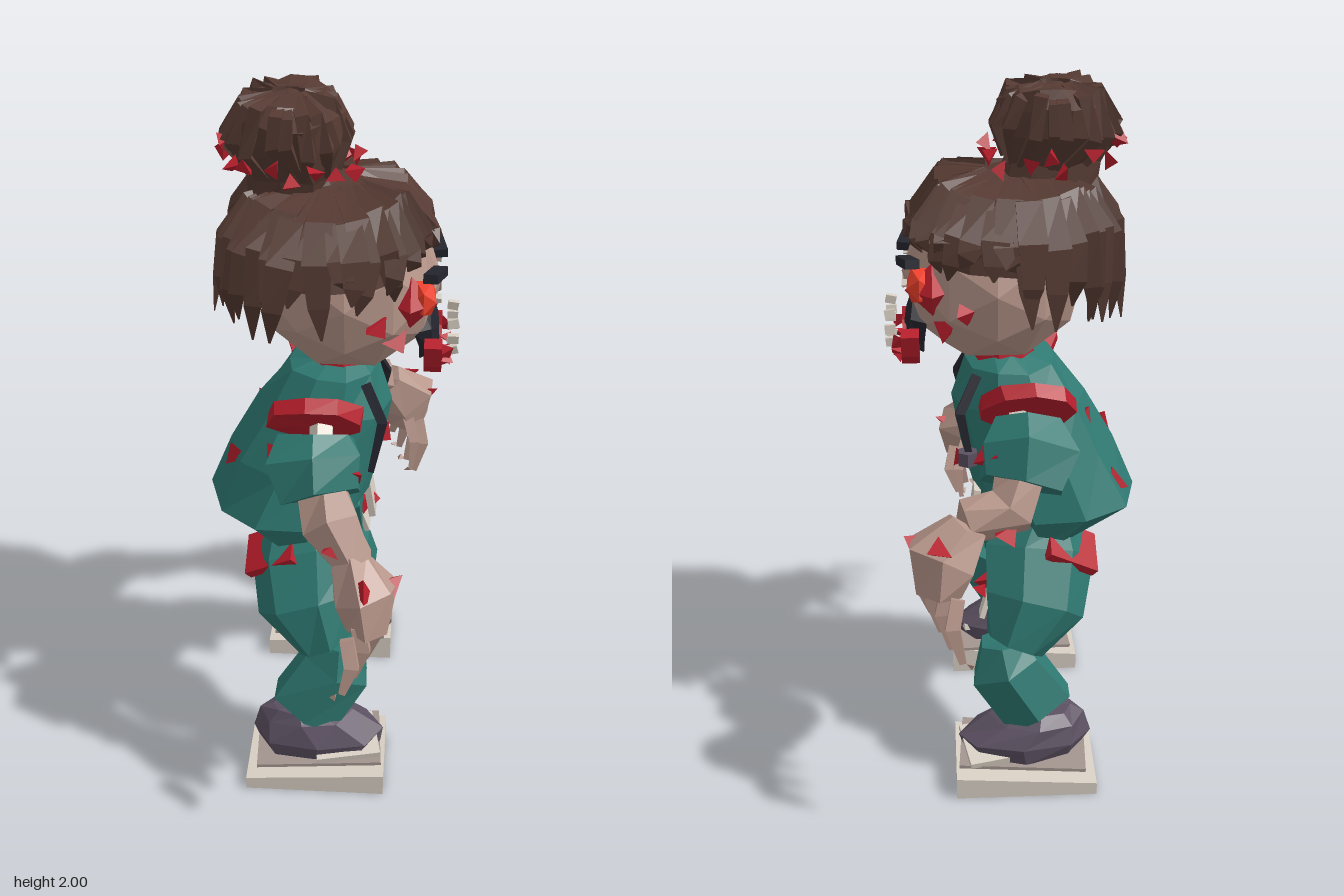
import * as THREE from 'three';

const C = { teal: 0x2f7972, skin: 0xb8978b, hair: 0x553a32, red: 0xb81e2c, glow: 0xf0402c,
  dark: 0x25252f, bone: 0xd9d0c4, shoe: 0x5c5162, sole: 0xa3958f };

export function createModel() {
  const model = new THREE.Group();
  let seed = 7;
  const rnd = () => (seed = (seed * 16807) % 2147483647) / 2147483647;
  const jit = a => (rnd() - 0.5) * 2 * a;
  const V = (x, y, z) => new THREE.Vector3(x, y, z);
  const mats = {};
  const add = (geo, color, name, parent) => {
    mats[color] ??= new THREE.MeshStandardMaterial({ color: C[color], flatShading: true });
    const m = new THREE.Mesh(geo, mats[color]);
    m.name = name;
    parent.add(m);
    return m;
  };
  const group = name => {
    const g = new THREE.Group();
    g.name = name;
    model.add(g);
    return g;
  };

  // Closed skin over rings [x, y, z, radius along x, other radius]
  function loft(rings, { n = 7, flat = false, j = 0 } = {}) {
    const pos = [], idx = [], last = rings.length - 1;
    rings.forEach((r, i) => {
      const a = rings[Math.max(i - 1, 0)], b = rings[Math.min(i + 1, last)];
      const t = flat ? V(0, 1, 0) : V(b[0] - a[0], b[1] - a[1], b[2] - a[2]).normalize();
      const u = Math.abs(t.x) > 0.9 ? V(0, 1, 0) : V(1, 0, 0);
      u.addScaledVector(t, -u.dot(t)).normalize();
      const v = t.clone().cross(u);
      for (let k = 0; k < n; k++) {
        const q = (k + (flat ? 0 : 0.5)) / n * Math.PI * 2;
        const p = V(r[0], r[1], r[2]).addScaledVector(u, Math.cos(q) * r[3]).addScaledVector(v, Math.sin(q) * r[4]);
        pos.push(p.x + jit(j), p.y + jit(j), p.z + jit(j));
      }
    });
    pos.push(...rings[0].slice(0, 3), ...rings[last].slice(0, 3));
    const c0 = n * (last + 1);
    for (let k = 0; k < n; k++) {
      const l = (k + 1) % n;
      for (let i = 0; i < last; i++) {
        const a = i * n + k, b = i * n + l;
        idx.push(a, b, b + n, a, b + n, a + n);
      }
      idx.push(c0, l, k, c0 + 1, last * n + k, last * n + l);
    }
    const g = new THREE.BufferGeometry();
    g.setAttribute('position', new THREE.Float32BufferAttribute(pos, 3));
    g.setIndex(idx);
    g.computeVertexNormals();
    return g;
  }
  const shard = (x, y, z, s, color, name, parent) => {
    const m = add(new THREE.TetrahedronGeometry(s), color, name, parent);
    m.position.set(x, y, z);
    m.rotation.set(rnd() * 6, rnd() * 6, rnd() * 6);
    m.scale.set(1, 0.6, 1);
  };
  const box = (x, y, z, w, h, d, color, name, parent, rx = 0, ry = 0, rz = 0) => {
    const m = add(new THREE.BoxGeometry(w, h, d), color, name, parent);
    m.position.set(x, y, z);
    m.rotation.set(rx, ry, rz);
  };

  // Torso in a loose tunic, humped toward the back
  const torso = group('torso');
  add(loft([[-0.1, 0.71, 0, 0.1, 0.25], [-0.13, 0.795, 0, 0.24, 0.285], [-0.075, 0.95, 0, 0.225, 0.25],
    [-0.02, 1.1, 0, 0.19, 0.21], [0, 1.21, 0, 0.13, 0.16], [0.02, 1.24, 0, 0.07, 0.09]], { n: 10, flat: true, j: 0.008 }), 'teal', 'tunic', torso);
  add(loft([[0.02, 1.2, 0, 0.1, 0.11], [0.02, 1.25, 0, 0.09, 0.1]], { n: 9, flat: true }), 'red', 'neckWound', torso);
  box(0.11, 0.75, -0.05, 0.02, 0.13, 0.1, 'bone', 'nameCard', torso, 0.1, 0, 0.15);
  shard(0.12, 0.72, -0.05, 0.028, 'red', 'cardStain', torso);
  for (const s of [1, -1])
    add(loft([[0.1, 1.2, s * 0.13, 0.02, 0.015], [0.15, 1.1, s * 0.17, 0.02, 0.015], [0.12, 0.95, s * 0.185, 0.012, 0.01]], { n: 4 }), 'dark', 'strap', torso);
  add(loft([[0.13, 0.95, -0.18, 0.03, 0.03], [0.13, 0.99, -0.18, 0.03, 0.03]], { n: 6 }), 'shoe', 'chestPiece', torso);
  for (const [x, y, z, s] of [[0.14, 0.93, -0.09, 0.045], [-0.27, 0.94, 0.1, 0.055], [-0.2, 1.04, -0.08, 0.05],
    [-0.3, 0.86, -0.12, 0.055], [-0.15, 1.0, 0.19, 0.045], [-0.02, 1.03, -0.22, 0.045]])
    shard(x, y, z, s, 'red', 'tunicStain', torso);

  // Head and face, looking along +x
  const head = group('head');
  const skull = add(new THREE.IcosahedronGeometry(1, 1), 'skin', 'skull', head);
  skull.scale.set(0.26, 0.26, 0.26);
  skull.position.set(0.045, 1.47, 0);
  for (const s of [1, -1]) {
    add(new THREE.OctahedronGeometry(0.075, 0), 'red', 'eyeSocket', head).position.set(0.22, 1.465, s * 0.16);
    const eye = add(new THREE.IcosahedronGeometry(0.058, 0), 'glow', 'eye', head);
    eye.position.set(0.255, 1.475, s * 0.15);
    eye.scale.x = 0.7;
    box(0.295, 1.48, s * 0.15 + 0.01, 0.015, 0.018, 0.018, 'bone', 'eyeGlint', head, 0.5);
    box(0.285, 1.535, s * 0.13, 0.04, 0.025, 0.14, 'dark', 'eyebrow', head, s * -0.2, s * -0.2);
    shard(0.18, 1.36, s * 0.18, 0.05, 'red', 'cheekStain', head);
    shard(0.13, 1.42, s * 0.23, 0.045, 'red', 'cheekStain', head);
  }
  add(loft([[0.24, 1.33, 0, 0.1, 0.1], [0.28, 1.335, 0, 0.085, 0.095], [0.3, 1.335, 0, 0.04, 0.05]], { n: 7, j: 0.008 }), 'dark', 'mouth', head);
  add(new THREE.TetrahedronGeometry(0.04), 'skin', 'nose', head).position.set(0.28, 1.45, 0);
  for (let i = 0; i < 7; i++) {
    const q = (i / 6 - 0.5) * 2.6, z = Math.sin(q) * 0.11, y = 1.315 - Math.cos(q) * 0.085;
    box(0.285, y, z, 0.05, 0.045, 0.065, 'red', 'lip', head, -q);
    box(0.34, y + 0.035 + (i % 2) * 0.07, z * 0.8, 0.03, 0.025, 0.015, 'bone', 'tooth', head, jit(0.3), 0, jit(0.3));
    shard(0.32, y, z * 0.9, 0.03, 'red', 'lipDrip', head);
  }

  // Hair: domed cap with narrow hanging locks that splay at the tips, longer at the back
  const hair = group('hair');
  const cap = add(new THREE.SphereGeometry(1, 12, 4, 0, Math.PI * 2, 0, Math.PI * 0.5), 'hair', 'hairCap', hair);
  cap.scale.set(0.27, 0.23, 0.31);
  cap.position.set(-0.015, 1.54, 0);
  for (let i = 0; i < 40; i++) {
    const a = (i + jit(0.4)) / 40 * Math.PI * 2, k = 0.94 + rnd() * 0.1, twist = jit(0.14), front = Math.cos(a);
    const tip = 1.475 + 0.105 * front + (i % 2) * 0.03 + jit(0.05);
    const at = (f, y, w, turn = 0) => {
      const c = Math.cos(a + turn), s = Math.sin(a + turn);
      return [-0.015 + c * 0.29 * f * k, y, s * 0.345 * f * k, w * (0.3 + 0.7 * Math.abs(s)), w * (0.3 + 0.7 * Math.abs(c))];
    };
    add(loft([at(0.3, 1.75, 0.03), at(0.74, 1.715 + jit(0.012), 0.05), at(0.97, 1.63 + jit(0.015), 0.055),
      at(1.03, tip + (1.63 - tip) * 0.45, 0.04, twist / 2), at(1.02 + jit(0.07), tip, 0.004, twist)], { n: 4 }), 'hair', 'lock', hair);
  }
  add(loft([[-0.1, 1.72, 0, 0.14, 0.14], [-0.11, 1.79, 0, 0.13, 0.14], [-0.125, 1.87, 0, 0.165, 0.17],
    [-0.125, 1.94, 0, 0.15, 0.195], [-0.12, 1.985, 0, 0.1, 0.15]], { n: 11, flat: true, j: 0.014 }), 'hair', 'bun', hair);
  for (let i = 0; i < 18; i++) {
    const a = (i + jit(0.3)) / 18 * Math.PI * 2, c = Math.cos(a), s = Math.sin(a), b = a + jit(0.4);
    add(loft([[-0.12 + c * 0.04, 1.98, s * 0.04, 0.015, 0.02], [-0.12 + c * 0.12, 1.965 + jit(0.012), s * 0.19, 0.025, 0.025],
      [-0.125 + c * 0.165, 1.88 + jit(0.02), s * 0.19, 0.025, 0.025], [-0.11 + Math.cos(b) * 0.13, 1.79, Math.sin(b) * 0.14, 0.01, 0.01]], { n: 4 }), 'hair', 'bunLock', hair);
    shard(-0.115 + c * 0.18, 1.82 + jit(0.03) - c * 0.02, s * 0.22, 0.035, 'red', 'bunCrystal', hair);
  }

  // Arms: torn shoulder, sleeve, forearm, hand and splayed fingers
  for (const s of [1, -1]) {
    const arm = group(s > 0 ? 'leftArm' : 'rightArm');
    const left = s > 0;
    const L = (pts, opt) => loft(pts.map(p => [p[0], p[1], p[2] * s, p[3], p[4]]), opt);
    add(L([[-0.03, 1.18, 0.265, 0.135, 0.12], [-0.03, 1.15, 0.295, 0.135, 0.12]], { n: 9, j: 0.006 }), 'red', 'shoulderWound', arm);
    add(L([[-0.03, 1.17, 0.27, 0.07, 0.06], [-0.03, 1.19, 0.25, 0.05, 0.05]], { n: 6 }), 'teal', 'shoulderCloth', arm);
    add(L([[-0.01, 1.18, 0.25, 0.035, 0.035], [-0.01, 1.09, 0.36, 0.035, 0.035]], { n: 5 }), 'bone', 'shoulderBone', arm);
    add(L([[-0.03, 1.14, 0.335, 0.11, 0.085], [-0.03, 1.085, 0.38, 0.145, 0.115], [-0.01, 1.005, 0.43, 0.125, 0.095]], { n: 6, j: 0.01 }), 'teal', 'sleeve', arm);
    const hx = left ? 0.12 : 0.21, hy = left ? 0.755 : 0.83, hz = left ? 0.535 : 0.525;
    const wrist = [hx * 0.68, hy + 0.09, 0.49];
    add(L([[0, 1.04, 0.42, 0.07, 0.065], [0.02, 0.945, 0.45, 0.085, 0.08], [...wrist, 0.06, 0.06]], { n: 6, j: 0.01 }), 'skin', 'forearm', arm);
    add(L([[...wrist, 0.06, 0.065], [hx, hy + 0.01, hz, 0.1, 0.105], [hx + 0.01, hy - 0.08, hz + 0.01, 0.065, 0.09]], { n: 6, j: 0.012 }), 'skin', 'hand', arm);
    for (let i = 0; i < 4; i++) {
      const f = i / 3 - 0.5, z = hz + 0.03 + f * 0.18, x = hx - f * 0.08;
      const end = hy - (left ? 0.21 : 0.23) + Math.abs(f) * 0.03;
      add(L([[x, hy - 0.05, z, 0.026, 0.024], [x + 0.015, hy - 0.12, z + f * 0.06, 0.028, 0.025],
        [x - 0.01, end, z + f * 0.09, 0.013, 0.013]], { n: 4 }), 'skin', 'finger', arm);
      shard(x - 0.03, end, (z + f * 0.1 + 0.01) * s, 0.015, 'skin', 'nail', arm);
    }
    add(L([[hx, hy - 0.02, 0.47, 0.026, 0.026], [hx + 0.03, hy - 0.11, 0.42, 0.022, 0.022], [hx + 0.02, hy - 0.2, 0.4, 0.01, 0.01]], { n: 4 }), 'skin', 'thumb', arm);
    for (const [x, y, z] of [[0.08, 0.93, 0.46], [0.04, 0.9, 0.515], [hx + 0.065, hy + 0.03, hz - 0.03], [hx, hy + 0.06, hz + 0.06], [0.08, 1.08, 0.42]])
      shard(x, y, z * s, 0.05, 'red', 'armStain', arm);
  }

  // Legs, shoes and loose soles
  for (const s of [1, -1]) {
    const leg = group(s > 0 ? 'leftLeg' : 'rightLeg');
    const L = (pts, opt) => loft(pts.map(p => [p[0], p[1], p[2] * s, p[3], p[4]]), opt);
    add(L([[-0.09, 0.755, 0.13, 0.1, 0.095], [-0.07, 0.66, 0.165, 0.165, 0.13], [-0.055, 0.53, 0.25, 0.155, 0.12],
      [0.005, 0.415, 0.287, 0.085, 0.085]], { n: 7, j: 0.008 }), 'teal', 'thigh', leg);
    add(L([[0.035, 0.43, 0.285, 0.08, 0.09], [0.03, 0.355, 0.3, 0.12, 0.112], [-0.065, 0.205, 0.32, 0.12, 0.1]], { n: 6, j: 0.008 }), 'teal', 'shin', leg);
    box(-0.165, 0.69, s * 0.21, 0.17, 0.03, 0.13, 'red', 'hipWound', leg, s * 0.5, 0, 0.6);
    box(0.085, 0.535, s * 0.25, 0.015, 0.08, 0.07, 'bone', 'tornPatch', leg, s * -0.2, 0, 0.3);
    shard(0.08, 0.6, s * 0.23, 0.05, 'red', 'legStain', leg);
    shard(0.1, 0.58, s * 0.26, 0.03, 'red', 'legStain', leg);
    shard(0.03, 0.22, s * 0.32, 0.045, 'red', 'ankleStain', leg);
    add(L([[-0.05, 0.15, 0.32, 0.06, 0.06], [-0.05, 0.24, 0.32, 0.06, 0.06]], { n: 6 }), 'skin', 'ankle', leg);
    add(loft([[-0.02, 0.09, s * 0.33, 0.18, 0.1], [-0.02, 0.135, s * 0.325, 0.195, 0.115], [-0.06, 0.19, s * 0.32, 0.14, 0.095],
      [-0.08, 0.215, s * 0.32, 0.08, 0.065]], { n: 8, flat: true, j: 0.008 }), 'shoe', 'shoe', leg);
    box(0.06, 0.115, s * 0.35, 0.19, 0.018, 0.16, 'bone', 'shoeTrim', leg, s * 0.2, 0.2);
    box(-0.02, 0.083, s * 0.325, 0.37, 0.01, 0.24, 'sole', 'insole', leg, 0, s * 0.06, 0.03);
    // Sole: a slab whose top slopes down toward the heel and outer side
    const g = new THREE.BoxGeometry(0.41, 0.06, 0.265), p = g.attributes.position;
    for (let i = 0; i < p.count; i++)
      if (p.getY(i) > 0) p.setY(i, 0.03 + p.getX(i) * 0.07 - p.getZ(i) * s * 0.06);
    add(g, 'bone', 'sole', leg).position.set(-0.025, 0.03, s * 0.333);
  }
  return model;
}
